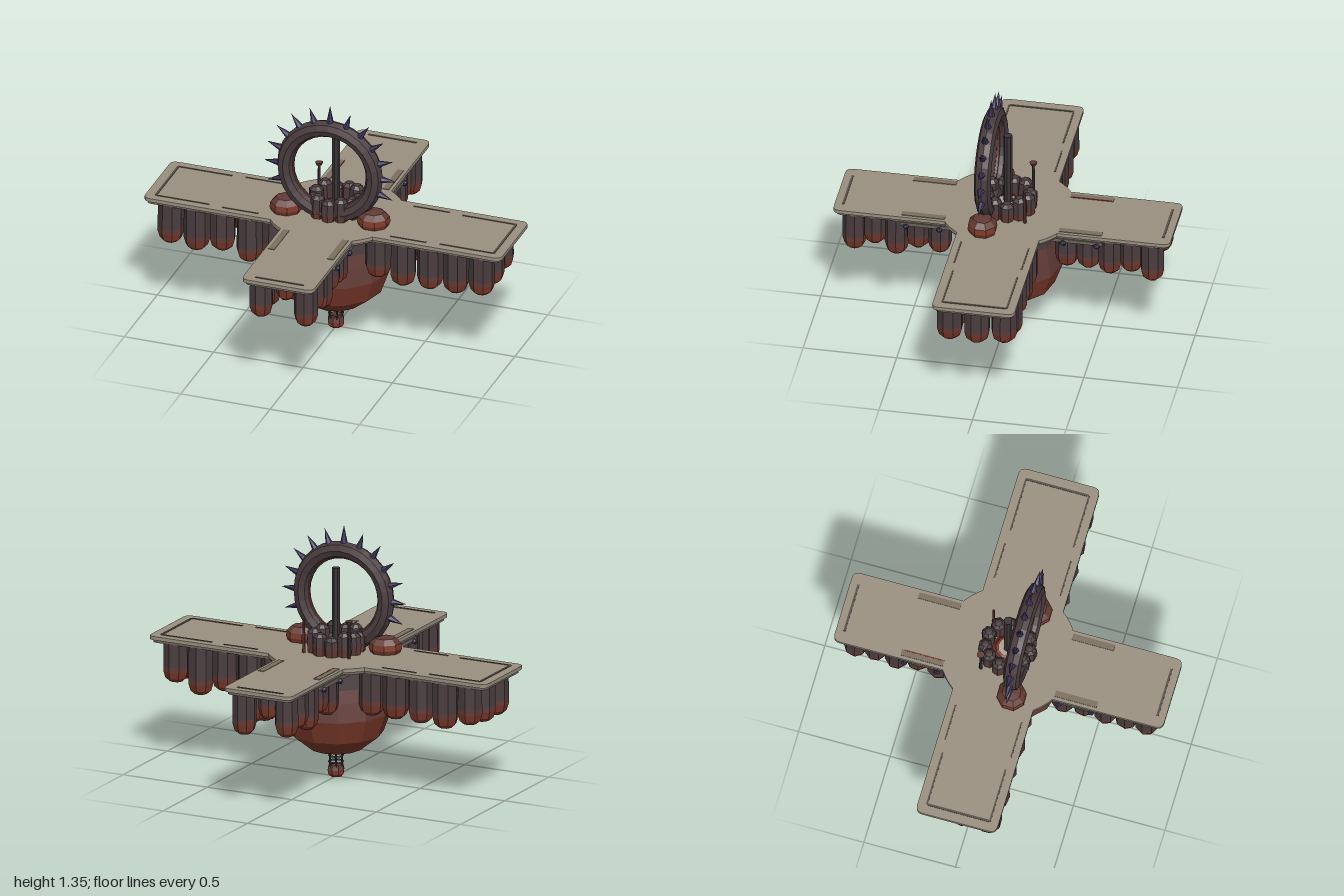
import * as THREE from 'three';

export function createModel() {
  const root = new THREE.Group();
  root.name = 'floatingCrossStation';
  const mat = (name, color, extra = {}) => {
    const m = new THREE.MeshStandardMaterial({ color, flatShading: true, ...extra });
    m.name = name;
    return m;
  };
  const deck = mat('deckStone', 0x9a9080);
  const rim = mat('rimStone', 0x6c655a);
  const groove = mat('grooveBrown', 0x574f45);
  const slot = mat('slotBrown', 0x7b6f60);
  const dark = mat('darkHide', 0x4a3c3f);
  const mid = mat('mixedHide', 0x613a35);
  const red = mat('redHide', 0x7d3a2b);
  const purple = mat('spikePurple', 0x40365f);
  const metal = mat('darkMetal', 0x3b3437);
  const pale = mat('paleCore', 0xa9a196);

  const add = (name, geo, material, x = 0, y = 0, z = 0, parent = root) => {
    const m = new THREE.Mesh(geo, material);
    m.name = name;
    m.position.set(x, y, z);
    parent.add(m);
    return m;
  };
  const lathe = (pts, sides) => new THREE.LatheGeometry(pts.map(p => new THREE.Vector2(p[0], p[1])), sides);
  const box = (name, w, h, d, material, x, y, z) => add(name, new THREE.BoxGeometry(w, h, d), material, x, y, z);

  // Cross-shaped deck with a round hub; inset shrinks the outline
  const crossGeometry = (inset, depth) => {
    const s = new THREE.Shape(), R = 0.36 - inset, c = 0.04;
    for (let k = 0; k < 4; k++) {
      const a = k * Math.PI / 2;
      const L = (k % 2 ? 0.9 : 1) - inset, w = (k % 2 ? 0.2 : 0.22) - inset;
      const next = (k % 2 ? 0.22 : 0.2) - inset;
      const p = (u, v) => [u * Math.cos(a) - v * Math.sin(a), u * Math.sin(a) + v * Math.cos(a)];
      if (k === 0) s.moveTo(...p(L - c, -w)); else s.lineTo(...p(L - c, -w));
      s.quadraticCurveTo(...p(L, -w), ...p(L, c - w));
      s.lineTo(...p(L, w - c));
      s.quadraticCurveTo(...p(L, w), ...p(L - c, w));
      s.absarc(0, 0, R, a + Math.asin(w / R), a + Math.PI / 2 - Math.asin(next / R), false);
    }
    return new THREE.ExtrudeGeometry(s, { depth, bevelEnabled: false, curveSegments: 5 }).rotateX(-Math.PI / 2);
  };
  add('deckRim', crossGeometry(0.012, 0.018), rim, 0, 0.652, 0);
  add('deckPlate', crossGeometry(0, 0.02), deck, 0, 0.668, 0);

  // Grooves, slots and side rails on the deck
  const top = 0.6885;
  for (const s of [-1, 1]) {
    box('endGrooveLong', 0.012, 0.005, 0.34, groove, s * 0.945, top, 0);
    box('endGrooveShort', 0.27, 0.005, 0.012, groove, 0, top, s * 0.855);
    for (const t of [-1, 1]) {
      box('sideGroove', 0.3, 0.005, 0.009, groove, s * 0.795, top, t * 0.172);
      box('innerGroove', 0.2, 0.005, 0.008, groove, s * 0.47, top, t * 0.18);
      box('deckSlot', 0.034, 0.005, 0.23, slot, s * 0.165, top, t * 0.42);
      box('sideRail', 0.02, 0.02, 0.34, rim, s * 0.185, 0.642, t * 0.37);
      for (const z of [0.33, 0.51])
        add('railStud', new THREE.IcosahedronGeometry(0.018, 0), purple, s * 0.195, 0.63, t * z);
    }
  }
  box('slotRedEdge', 0.006, 0.005, 0.21, red, -0.15, top + 0.001, -0.42);

  // Hull bulb in colour bands
  add('hullBottom', lathe([[0, 0.155], [0.14, 0.158], [0.25, 0.245], [0.295, 0.37]], 12), red);
  add('hullBelt', lathe([[0.295, 0.37], [0.28, 0.47], [0.265, 0.54]], 12), mid);
  add('hullNeck', lathe([[0.265, 0.54], [0.25, 0.66]], 12), dark);

  // Hanging lantern under the hull
  for (let i = 0; i < 6; i++) {
    const a = i * Math.PI / 3;
    add('lanternBar', new THREE.CylinderGeometry(0.005, 0.005, 0.11, 5), metal,
      0.037 * Math.cos(a), 0.112, 0.037 * Math.sin(a));
  }
  for (const y of [0.08, 0.115])
    add('lanternRing', new THREE.TorusGeometry(0.038, 0.005, 4, 10).rotateX(Math.PI / 2), metal, 0, y, 0);
  add('lanternCup', lathe([[0, 0], [0.032, 0.002], [0.044, 0.018], [0.046, 0.04]], 8), red);
  add('lanternLid', lathe([[0.046, 0.04], [0.04, 0.065], [0, 0.066]], 8), mid);

  // Hanging pods: dark stem, mixed band and red rounded tip
  let count = 0;
  const pod = (x, z, bottom, r = 0.07) => {
    const g = new THREE.Group();
    g.name = 'hangingPod';
    g.position.set(x, 0, z);
    g.rotation.y = Math.PI / 8 + 0.3 * Math.sin(count++ * 2.7);
    root.add(g);
    const b = bottom, t = 0.656, m = Math.min(b + 0.09, 0.62);
    add('podTip', lathe([[0, b], [0.5 * r, b + 0.004], [0.84 * r, b + 0.025], [r, b + 0.062]], 8), red, 0, 0, 0, g);
    add('podBand', lathe([[r, b + 0.062], [r, m]], 8), mid, 0, 0, 0, g);
    add('podStem', lathe([[r, m], [0.98 * r, t]], 8), dark, 0, 0, 0, g);
  };
  const vary = i => 0.03 * Math.sin(i * 2.3);
  for (const s of [-1, 1]) {
    for (const t of [-1, 1]) {
      // Rows along both edges of each arm
      [0.29, 0.43, 0.58, 0.725, 0.87].forEach((x, i) =>
        pod(s * x, t * 0.145, [0.42, 0.4, 0.42, 0.4, 0.43][i] + 0.4 * vary(i + s + 2 * t)));
      [0.34, 0.455, 0.57, 0.685, 0.795].forEach((z, i) =>
        pod(s * 0.125, t * z, [0.45, 0.47, 0.43, 0.46, 0.43][i] + 0.4 * vary(i + 2 * s + t), 0.064));
    }
    // End and middle pods
    pod(s * 0.87, 0, 0.42);
    [0.38, 0.51, 0.64, 0.76].forEach((x, i) => pod(s * x, 0, 0.5 + vary(i + s), 0.062));
    [0.4, 0.52, 0.64, 0.76].forEach((z, i) => pod(0, s * z, 0.51 + vary(i + 3 * s), 0.055));
  }

  // Upright spiked ring
  const ring = new THREE.Group();
  ring.name = 'spikedRing';
  ring.position.set(0, 0.965, 0.09);
  root.add(ring);
  add('ringBody', new THREE.TorusGeometry(0.25, 0.045, 8, 28), dark, 0, 0, 0, ring);
  add('ringLiner', new THREE.TorusGeometry(0.211, 0.011, 5, 28), mid, 0, 0, 0, ring);
  for (let i = 0; i < 13; i++) {
    const a = (i * 18 - 18) * Math.PI / 180;
    const len = i === 6 ? 0.115 : 0.1;
    const r = 0.27 + len / 2;
    const spike = add('ringSpike', new THREE.ConeGeometry(0.023, len, 6), purple,
      r * Math.cos(a), r * Math.sin(a), 0, ring);
    spike.rotation.z = a - Math.PI / 2;
  }

  // Lumpy feet of the ring
  for (const s of [-1, 1]) {
    const foot = new THREE.Group();
    foot.name = 'ringFoot';
    foot.position.set(s * 0.245, 0.685, 0.09);
    foot.scale.set(1.1, 1, 1);
    foot.rotation.y = Math.PI / 8;
    root.add(foot);
    add('footBase', lathe([[0.07, 0], [0.08, 0.025], [0.076, 0.055]], 8), red, 0, 0, 0, foot);
    add('footCap', lathe([[0.076, 0.055], [0.05, 0.083], [0, 0.088]], 8), mid, 0, 0, 0, foot);
  }

  // Collar of stubby lumps around the mast
  for (let i = 0; i < 11; i++) {
    const a = i * Math.PI * 2 / 11 + Math.PI / 2;
    const h = 0.1 + 0.015 * Math.sin(i * 2.1);
    const lump = new THREE.Group();
    lump.name = 'collarLump';
    lump.position.set(0.118 * Math.cos(a), 0.685, 0.118 * Math.sin(a));
    lump.rotation.y = -a;
    root.add(lump);
    add('lumpBase', lathe([[0.036, 0], [0.041, 0.05]], 7), mid, 0, 0, 0, lump);
    add('lumpTop', lathe([[0.041, 0.05], [0.038, h], [0.02, h + 0.018], [0, h + 0.02]], 7), dark, 0, 0, 0, lump);
  }

  // Mast with its socket
  add('mastSocket', lathe([[0.09, 0.685], [0.065, 0.73], [0.05, 0.735]], 10), red);
  add('mastPlate', new THREE.CylinderGeometry(0.055, 0.055, 0.04, 10), pale, 0, 0.708, 0);
  add('mast', new THREE.CylinderGeometry(0.023, 0.023, 0.455, 8), metal, 0, 0.9125, 0);

  // Two thin antennae behind the collar
  add('tallAntenna', new THREE.CylinderGeometry(0.007, 0.009, 0.2, 6), metal, -0.135, 0.785, -0.11);
  add('antennaCap', new THREE.CylinderGeometry(0.021, 0.015, 0.016, 8), mid, -0.135, 0.885, -0.11);
  add('shortAntenna', new THREE.CylinderGeometry(0.006, 0.009, 0.185, 6), mid, 0.13, 0.778, -0.115);

  return root;
}
